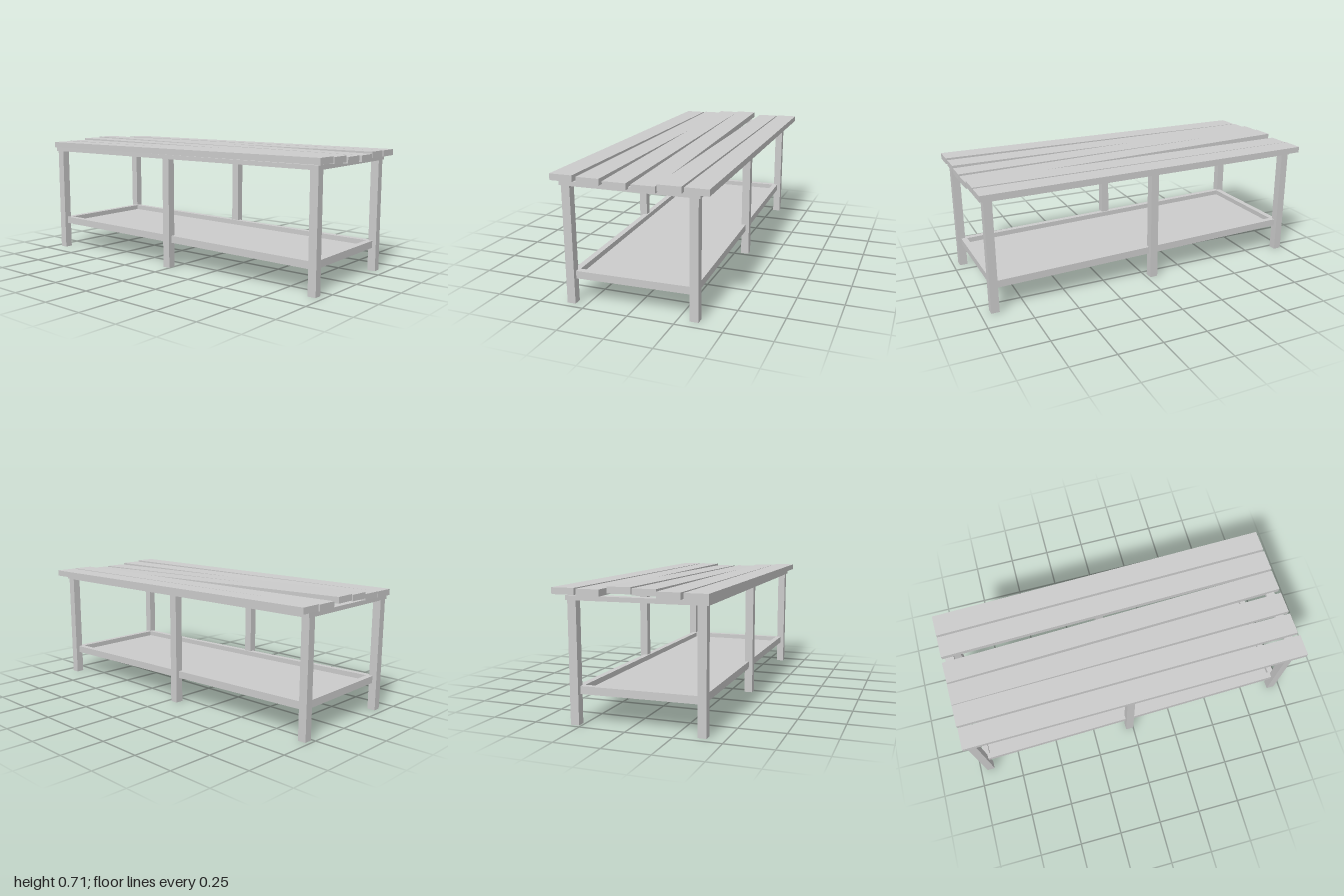
import * as THREE from 'three';

const material = new THREE.MeshStandardMaterial({ color: 0xcccccc, flatShading: true });

function box(parent, name, w, h, d, x, y, z) {
  const mesh = new THREE.Mesh(new THREE.BoxGeometry(w, h, d), material);
  mesh.name = name;
  mesh.position.set(x, y, z);
  parent.add(mesh);
  return mesh;
}

// Rectangular frame of four rails with outer size w x d, centred on its group
function railFrame(parent, name, w, h, d, railWidth) {
  const group = new THREE.Group();
  group.name = name;
  for (const s of [-1, 1]) {
    box(group, 'longRail', w, h, railWidth, 0, 0, s * (d - railWidth) / 2);
    box(group, 'endRail', railWidth, h, d - 2 * railWidth, s * (w - railWidth) / 2, 0, 0);
  }
  parent.add(group);
  return group;
}

export function createModel() {
  const bench = new THREE.Group();
  bench.name = 'slattedBench';

  // Supporting structure, turned slightly about the vertical
  const base = new THREE.Group();
  base.name = 'base';
  base.position.z = 0.024;
  base.rotation.y = 0.0275;
  bench.add(base);

  // Six square legs
  const legTop = 0.633, legSize = 0.046;
  for (const x of [-0.948, -0.033, 0.933]) {
    for (const s of [-1, 1]) {
      box(base, s > 0 ? 'frontLeg' : 'backLeg', legSize, legTop, legSize, x, legTop / 2, s * 0.335);
    }
  }

  // Flat frame carrying the seat
  const seatFrame = railFrame(base, 'seatFrame', 1.935, 0.024, 0.736, 0.05);
  seatFrame.position.set(-0.007, 0.645, 0);

  // Lower shelf tray, sloping down towards +x
  const shelf = railFrame(base, 'shelf', 1.88, 0.041, 0.672, 0.034);
  shelf.position.set(-0.006, 0.1655, 0);
  shelf.rotation.z = -0.0128;
  box(shelf, 'shelfPanel', 1.812, 0.012, 0.604, 0, -0.0145, 0);

  // Slats: centre x, z at the -x and +x ends, top height at the -x and +x ends
  const slats = [
    [-0.010, -0.322, -0.363, 0.695, 0.690],
    [-0.007, -0.188, -0.227, 0.692, 0.691],
    [-0.002, -0.024, -0.097, 0.708, 0.680],
    [0.001, 0.106, 0.053, 0.703, 0.682],
    [0.003, 0.228, 0.194, 0.692, 0.691],
    [0.010, 0.362, 0.336, 0.690, 0.697],
  ];
  const length = 1.977, thickness = 0.034;
  for (const [x, z0, z1, y0, y1] of slats) {
    const slat = box(bench, 'seatSlat', length, thickness, 0.123, x, (y0 + y1 - thickness) / 2, (z0 + z1) / 2);
    slat.rotation.set(0, Math.atan2(z0 - z1, length), Math.atan2(y1 - y0, length));
  }
  return bench;
}
